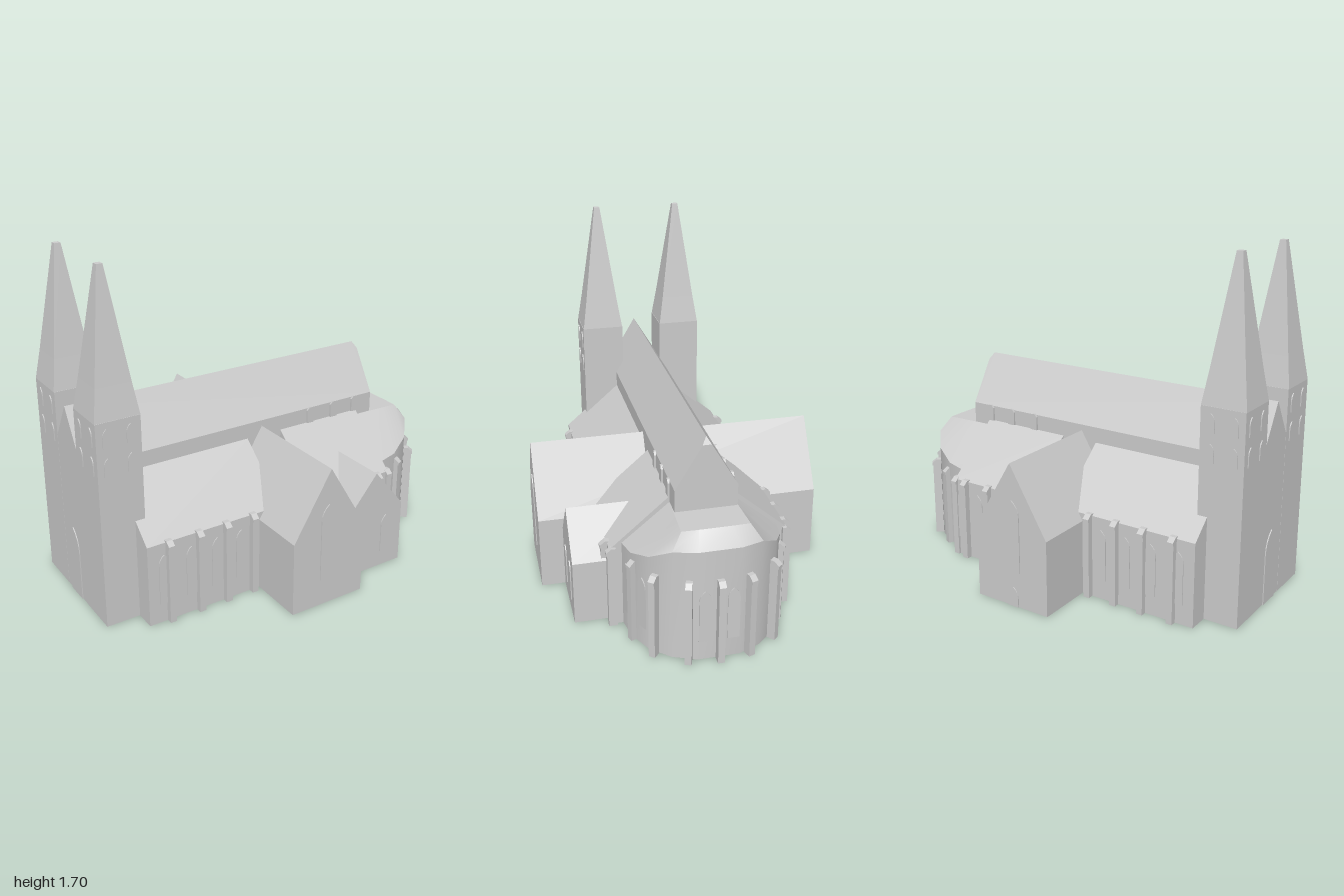
import * as THREE from 'three';
import { toCreasedNormals } from 'three/addons/utils/BufferGeometryUtils.js';
import { ConvexGeometry } from 'three/addons/geometries/ConvexGeometry.js';

export function createModel() {
  const group = new THREE.Group();
  const stone = new THREE.MeshStandardMaterial({ color: 0xcccccc });
  stone.name = 'paleStone';

  const add = (name, geometry, x = 0, y = 0, z = 0, turn = 0) => {
    const mesh = new THREE.Mesh(geometry, stone);
    mesh.name = name;
    mesh.position.set(x, y, z);
    mesh.rotation.y = turn;
    group.add(mesh);
    return mesh;
  };
  const extrude = (points, depth) => new THREE.ExtrudeGeometry(
    new THREE.Shape(points.map(([x, y]) => new THREE.Vector2(x, y))), { depth, bevelEnabled: false });

  // Gabled block with its ridge along z
  const gable = (half, eave, ridge, depth) =>
    extrude([[-half, 0], [half, 0], [half, eave], [0, ridge], [-half, eave]], depth);

  // Thin pointed-arch plate; its foot is at the given point and it faces along 'turn'
  const arch = (name, w, h, x, y, z, turn) => {
    const s = new THREE.Shape();
    const spring = h - w * 0.95;
    s.moveTo(-w / 2, 0);
    s.lineTo(w / 2, 0);
    s.lineTo(w / 2, spring);
    s.quadraticCurveTo(w / 2, h - w * 0.35, 0, h);
    s.quadraticCurveTo(-w / 2, h - w * 0.35, -w / 2, spring);
    add(name, new THREE.ExtrudeGeometry(s, { depth: 0.005, bevelEnabled: false, curveSegments: 4 }), x, y, z, turn);
  };

  // Buttress with a sloping cap, projecting along its local +z
  const buttressGeometry = extrude(
    [[-0.01, 0], [0.032, 0], [0.032, 0.395], [0.037, 0.395], [0.037, 0.41], [0.012, 0.43], [-0.01, 0.43]], 0.032);
  buttressGeometry.translate(0, 0, -0.016).rotateY(-Math.PI / 2);
  const buttress = (x, z, turn) => add('buttress', buttressGeometry, x, 0, z, turn);

  // Nave, with a small hip at the east end of its ridge
  const nave = [[-0.999, 0, 1], [0.668, 0, 1]];
  for (const s of [-1, 1]) {
    for (const x of [-0.999, 0.69]) nave.push([x, 0, s * 0.15].map((v, i) => i === 1 ? 0 : v), [x, s * 0.15, 0.75]);
    nave.push([0.69, s * 0.021, 0.965]);
  }
  const navePoints = nave.map(p => p[1] === 0 && p[2] !== 1
    ? new THREE.Vector3(p[0], 0, p[2]) : new THREE.Vector3(p[0], p[2], p[1]));
  add('nave', new ConvexGeometry(navePoints));

  // Side aisles with lean-to roofs, west and east of the transept
  for (const [x0, x1] of [[-0.83, -0.1], [0.1, 0.59]]) {
    const g = extrude([[-0.44, 0], [0.44, 0], [0.44, 0.42], [0.15, 0.67], [-0.15, 0.67], [-0.44, 0.42]], x1 - x0);
    g.rotateY(Math.PI / 2);
    add('aisles', g, x0);
  }

  // Transept and the side chapel
  add('transept', gable(0.205, 0.38, 0.72, 1.46), -0.015, 0, -0.73);
  add('sideChapel', gable(0.175, 0.33, 0.54, 0.41), 0.365, 0, 0.2);

  // Apse: wall, sloping roof and flat top from three rings [x, z, eave height, inner x, inner z]
  const half = [
    [0.59, 0.38, 0.45, 0.59, 0.15],
    [0.70, 0.36, 0.462, 0.68, 0.152],
    [0.82, 0.30, 0.505, 0.77, 0.156],
    [0.90, 0.21, 0.565, 0.86, 0.16],
    [0.945, 0.10, 0.575, 0.862, 0.08],
  ];
  const ring = [...half, ...half.slice().reverse().map(([x, z, e, ix, iz]) => [x, -z, e, ix, -iz])];
  const pos = [];
  const tri = (...corners) => corners.forEach(c => pos.push(...c));
  const quad = (a, b, c, d) => { tri(a, b, c); tri(a, c, d); };
  const foot = i => [ring[i][0], 0, ring[i][1]];
  const eave = i => [ring[i][0], ring[i][2], ring[i][1]];
  const top = i => [ring[i][3], 0.64, ring[i][4]];
  for (let i = 0; i < ring.length - 1; i++) {
    quad(foot(i), foot(i + 1), eave(i + 1), eave(i));
    quad(eave(i), eave(i + 1), top(i + 1), top(i));
    if (i > 0) {
      tri(top(0), top(i), top(i + 1));
      tri(foot(0), foot(i + 1), foot(i));
    }
  }
  quad(foot(ring.length - 1), foot(0), eave(0), eave(ring.length - 1));
  quad(eave(ring.length - 1), eave(0), top(0), top(ring.length - 1));
  const apse = new THREE.BufferGeometry();
  apse.setAttribute('position', new THREE.Float32BufferAttribute(pos, 3));
  add('apse', toCreasedNormals(apse, 0.5));

  // Towers with two-stage spires
  const frustum = (r0, r1, h) => {
    const g = new THREE.CylinderGeometry(r1 * Math.SQRT2, r0 * Math.SQRT2, h, 4, 1).toNonIndexed();
    g.rotateY(Math.PI / 4).translate(0, h / 2, 0);
    g.computeVertexNormals();
    return g;
  };
  for (const s of [-1, 1]) {
    const z = s * 0.222;
    add('tower', new THREE.BoxGeometry(0.22, 1.03, 0.226), -0.89, 0.515, z);
    add('spireBase', frustum(0.111, 0.088, 0.15), -0.89, 1.03, z);
    add('spire', frustum(0.088, 0.015, 0.52), -0.89, 1.18, z);
    for (const y of [0.77, 0.91]) {
      for (const d of [-0.058, 0.058]) {
        arch('towerWindow', 0.04, 0.09, -0.89 + d, y, s * 0.335, s > 0 ? 0 : Math.PI);
        arch('towerWindow', 0.04, 0.09, -1, y, z + d, -Math.PI / 2);
      }
    }
  }
  // Wall joining the towers below the nave gable, and the main door
  add('westFront', new THREE.BoxGeometry(0.2, 0.7, 0.4), -0.898, 0.35, 0);
  arch('mainDoor', 0.12, 0.37, -0.999, 0, 0, -Math.PI / 2);

  // Buttresses and windows on both long sides
  for (const s of [-1, 1]) {
    const turn = s > 0 ? 0 : Math.PI;
    for (const x of [-0.72, -0.56, -0.41, -0.26, 0.205, 0.365, 0.515]) buttress(x, s * 0.438, turn);
    for (const x of [-0.745, -0.6, -0.46, -0.325, 0.285, 0.44, 0.55]) arch('aisleWindow', 0.058, 0.26, x, 0.1, s * 0.44, turn);
    for (const x of [0.285, 0.435, 0.575]) {
      const g = extrude([[-0.02, 0], [0.02, 0], [0.02, 0.07], [0.008, 0.085], [-0.008, 0.085], [-0.02, 0.07]], 0.015);
      add('clerestoryWindow', g, x, 0.67, s > 0 ? 0.145 : -0.145, turn);
    }
    // Apse buttresses and windows
    const facing = a => s > 0 ? a : Math.PI - a;
    buttress(0.59, s * 0.42, turn);
    buttress(0.715, s * 0.345, facing(0.4));
    buttress(0.855, s * 0.28, facing(0.85));
    buttress(0.943, s * 0.142, facing(1.25));
    arch('apseWindow', 0.055, 0.27, 0.645, 0.1, s * 0.37, facing(0.18));
    arch('apseWindow', 0.055, 0.27, 0.775, 0.1, s * 0.3225, facing(0.464));
    arch('apseWindow', 0.058, 0.27, 0.945, 0.1, s * 0.067, Math.PI / 2);
  }
  buttress(0.961, 0, Math.PI / 2);

  // Transept and chapel openings
  arch('transeptWindow', 0.085, 0.4, -0.022, 0.14, 0.73, 0);
  arch('transeptWindow', 0.085, 0.36, -0.022, 0.18, -0.73, Math.PI);
  arch('transeptDoor', 0.06, 0.1, -0.022, 0, -0.73, Math.PI);
  for (const x of [0.287, 0.438]) arch('chapelWindow', 0.056, 0.205, x, 0.085, 0.61, 0);

  return group;
}
